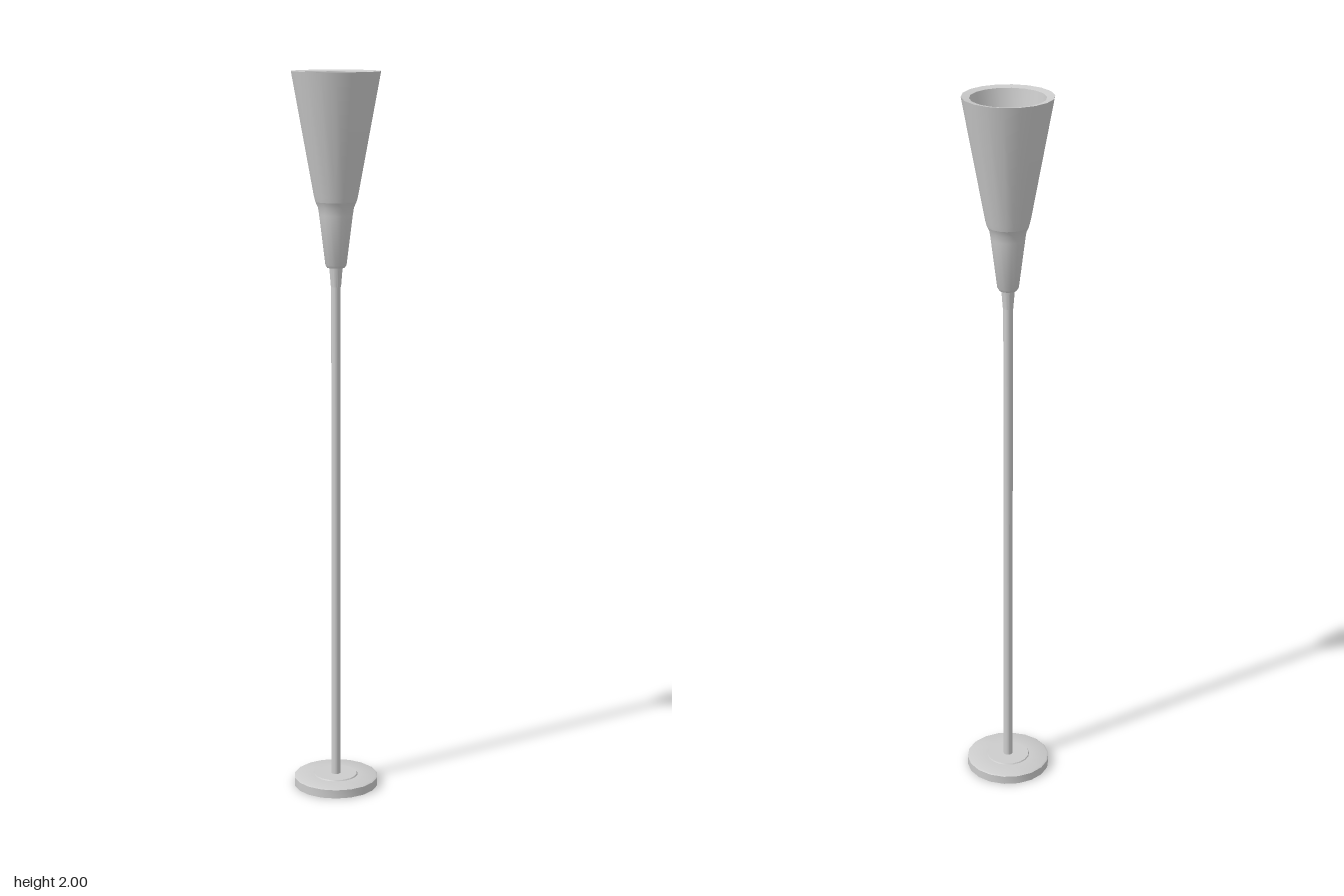
import * as THREE from 'three';
import { toCreasedNormals } from 'three/addons/utils/BufferGeometryUtils.js';

const SIDES = 18;

export function createModel() {
  const group = new THREE.Group();
  const material = new THREE.MeshStandardMaterial({ color: 0xcccccc, side: THREE.DoubleSide });

  // Turned part from [radius, height] pairs, listed from bottom to top on the outside
  const turned = (name, profile) => {
    const points = profile.map(([r, y]) => new THREE.Vector2(r, y));
    const geometry = toCreasedNormals(new THREE.LatheGeometry(points, SIDES), 0.6);
    const mesh = new THREE.Mesh(geometry, material);
    mesh.name = name;
    group.add(mesh);
  };

  // Round foot with a slightly raised centre
  turned('base', [[0, 0], [0.119, 0], [0.119, 0.024], [0.114, 0.027], [0.062, 0.028], [0.06, 0.031], [0, 0.031]]);

  // Slender pole
  turned('pole', [[0.013, 0.03], [0.013, 1.45]]);

  // Small tapered collar joining pole and shade
  turned('collar', [[0, 1.425], [0.014, 1.425], [0.019, 1.485], [0, 1.485]]);

  // Tapered holder below the shade
  turned('holder', [[0, 1.477], [0.024, 1.477], [0.029, 1.485], [0.046, 1.62], [0.049, 1.64], [0.056, 1.655]]);

  // Flared shade, hollow with a thick rim
  turned('shade', [[0.056, 1.655], [0.06, 1.67], [0.121, 2], [0.1, 1.996], [0.045, 1.67], [0.024, 1.56], [0, 1.555]]);

  return group;
}
